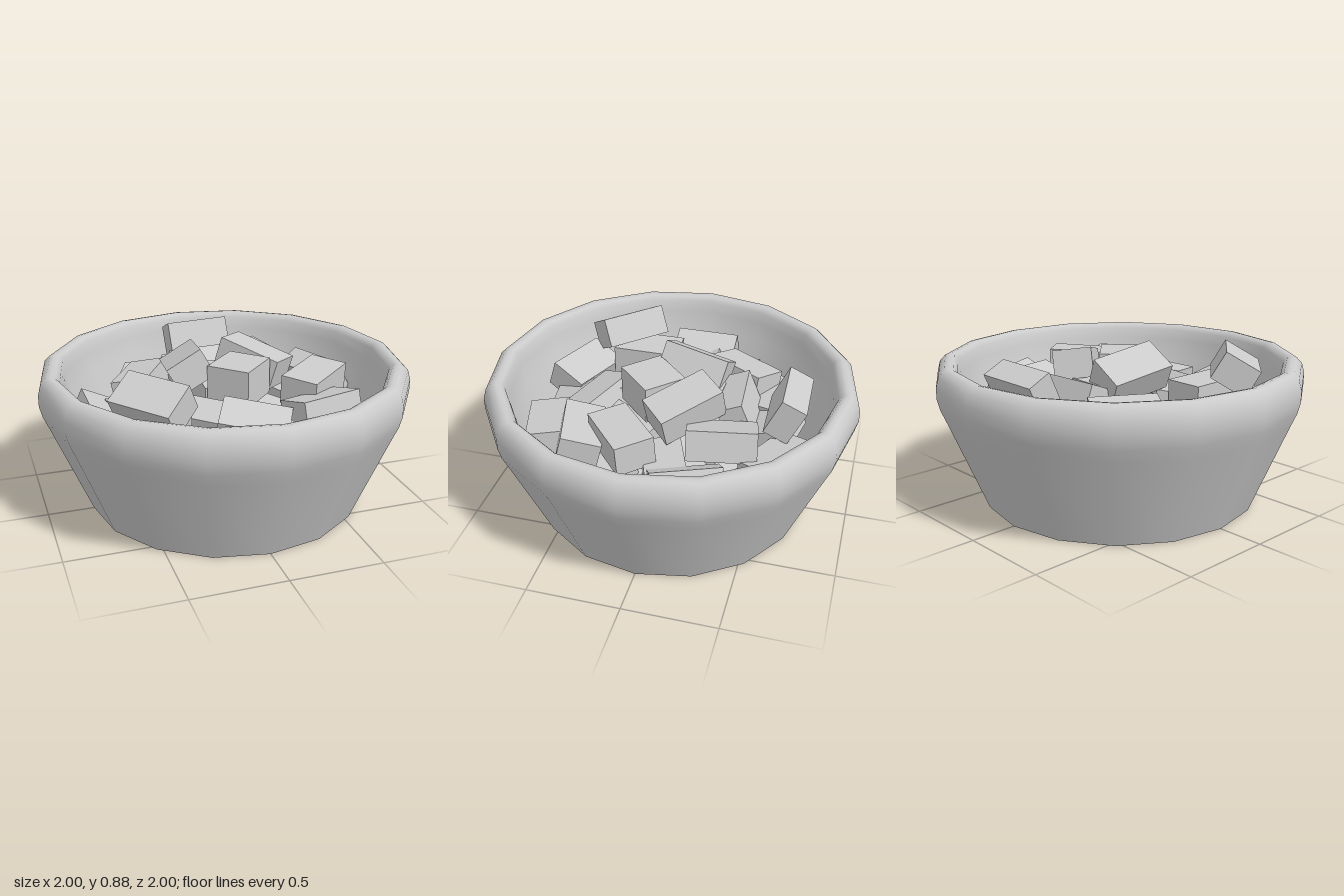
import * as THREE from 'three';

const SIDES = 16;
const rad = THREE.MathUtils.degToRad;
const material = new THREE.MeshStandardMaterial({ color: 0xcccccc });

// Bowl: one smooth profile for the wall and rolled rim, with flat discs for base and floor
function createBowl() {
  const bowl = new THREE.Group();
  bowl.name = 'bowl';

  const profile = [
    [0.75, 0], [0.955, 0.5], [0.985, 0.57], [1, 0.63], [1, 0.69], [0.985, 0.745],
    [0.955, 0.775], [0.93, 0.78], [0.905, 0.775], [0.885, 0.75], [0.872, 0.69],
    [0.85, 0.58], [0.7, 0.1],
  ].map(([r, y]) => new THREE.Vector2(r, y));
  const wall = new THREE.Mesh(new THREE.LatheGeometry(profile, SIDES), material);
  wall.name = 'bowlWall';

  const base = new THREE.Mesh(new THREE.CircleGeometry(0.75, SIDES).rotateX(Math.PI / 2), material);
  base.name = 'bowlBase';

  const floor = new THREE.Mesh(new THREE.CircleGeometry(0.7, SIDES).rotateX(-Math.PI / 2), material);
  floor.name = 'bowlFloor';
  floor.position.y = 0.1;

  bowl.add(wall, base, floor);
  return bowl;
}

// Chunk sizes: length, height, width
const FLAT = [0.36, 0.16, 0.21];
const UPRIGHT = [0.36, 0.21, 0.14];
const SQUARE = [0.27, 0.2, 0.24];

// A chunk is placed by the centre of its top face; yaw turns its long axis,
// pitch lifts one end and roll tips it sideways (degrees)
function createChunk([size, x, y, z, yaw, pitch = 0, roll = 0]) {
  const geometry = new THREE.BoxGeometry(...size).translate(0, -size[1] / 2, 0);
  const chunk = new THREE.Mesh(geometry, material);
  chunk.name = 'chunk';
  chunk.position.set(x, y, z);
  chunk.rotation.set(rad(roll), rad(yaw), rad(pitch), 'YZX');
  return chunk;
}

// Top of the heap
const TOP_LAYER = [
  [UPRIGHT, 0.03, 0.79, -0.68, 2, 1, -25],
  [FLAT, -0.22, 0.795, -0.11, 82, -9, -30],
  [FLAT, -0.52, 0.8, 0.41, -49, -2, 30],
  [FLAT, -0.41, 0.69, 0.245, 90, 0, 0],
  [FLAT, 0.235, 0.79, -0.115, -48, -14, -7],
  [SQUARE, 0.055, 0.79, 0.09, 45, 0, 0],
  [FLAT, 0.47, 0.72, 0.145, 40, 2, 3],
  [FLAT, 0.41, 0.66, 0.36, 15, 0, -15],
  [FLAT, 0.29, 0.68, -0.34, 100, 0, -18],
  [FLAT, -0.4, 0.65, -0.33, 59, 0, -12],
  [UPRIGHT, -0.02, 0.7, -0.33, 4, 0, 22],
];

// Chunks seen between and around the top ones
const MIDDLE_LAYER = [
  [FLAT, -0.65, 0.58, -0.03, 90, 0, 25],
  [FLAT, 0.3, 0.58, -0.62, -28, 0, 8],
  [FLAT, -0.02, 0.57, -0.53, -10, 0, 22],
  [FLAT, 0.29, 0.58, 0.61, 17, 4, 5],
  [FLAT, -0.24, 0.62, 0.56, -22, 0, -20],
  [FLAT, 0.03, 0.62, 0.43, -25, -8, 20],
  [FLAT, 0.04, 0.56, 0.57, 10, 5, 18],
  [FLAT, -0.19, 0.61, 0.24, -45, 0, 10],
  [UPRIGHT, 0.6, 0.62, -0.22, -68, 0, 30],
  [FLAT, 0.5, 0.5, -0.45, -40, 0, 10],
  [FLAT, 0.48, 0.58, -0.08, 20, 5, 0],
  [FLAT, -0.44, 0.54, -0.06, 10, 0, 25],
  [FLAT, -0.53, 0.5, -0.27, 5, 0, -5],
  [FLAT, -0.52, 0.5, 0.22, 50, 0, 10],
  [FLAT, -0.02, 0.67, -0.09, 88, 4, 0],
  [FLAT, 0.53, 0.5, 0.26, 70, 0, 12],
  [FLAT, -0.28, 0.56, -0.52, -25, 0, 8],
  [FLAT, 0.06, 0.61, -0.22, 15, -6, 5],
  [FLAT, 0.2, 0.55, 0.22, 60, 0, 15],
];

export function createModel() {
  const model = new THREE.Group();
  model.name = 'bowlOfChunks';

  const heap = new THREE.Group();
  heap.name = 'heap';
  [...TOP_LAYER, ...MIDDLE_LAYER].forEach((c) => heap.add(createChunk(c)));

  // Buried chunks, spread in a spiral over the floor
  for (let i = 0; i < 20; i++) {
    const angle = i * 2.4;
    const r = 0.5 * Math.sqrt((i + 0.5) / 20);
    const y = 0.3 + 0.14 * (i % 2);
    heap.add(createChunk([FLAT, r * Math.cos(angle), y, r * Math.sin(angle), i * 67, (i % 3) * 6 - 6, (i % 5) * 6 - 12]));
  }

  model.add(createBowl(), heap);
  return model;
}
